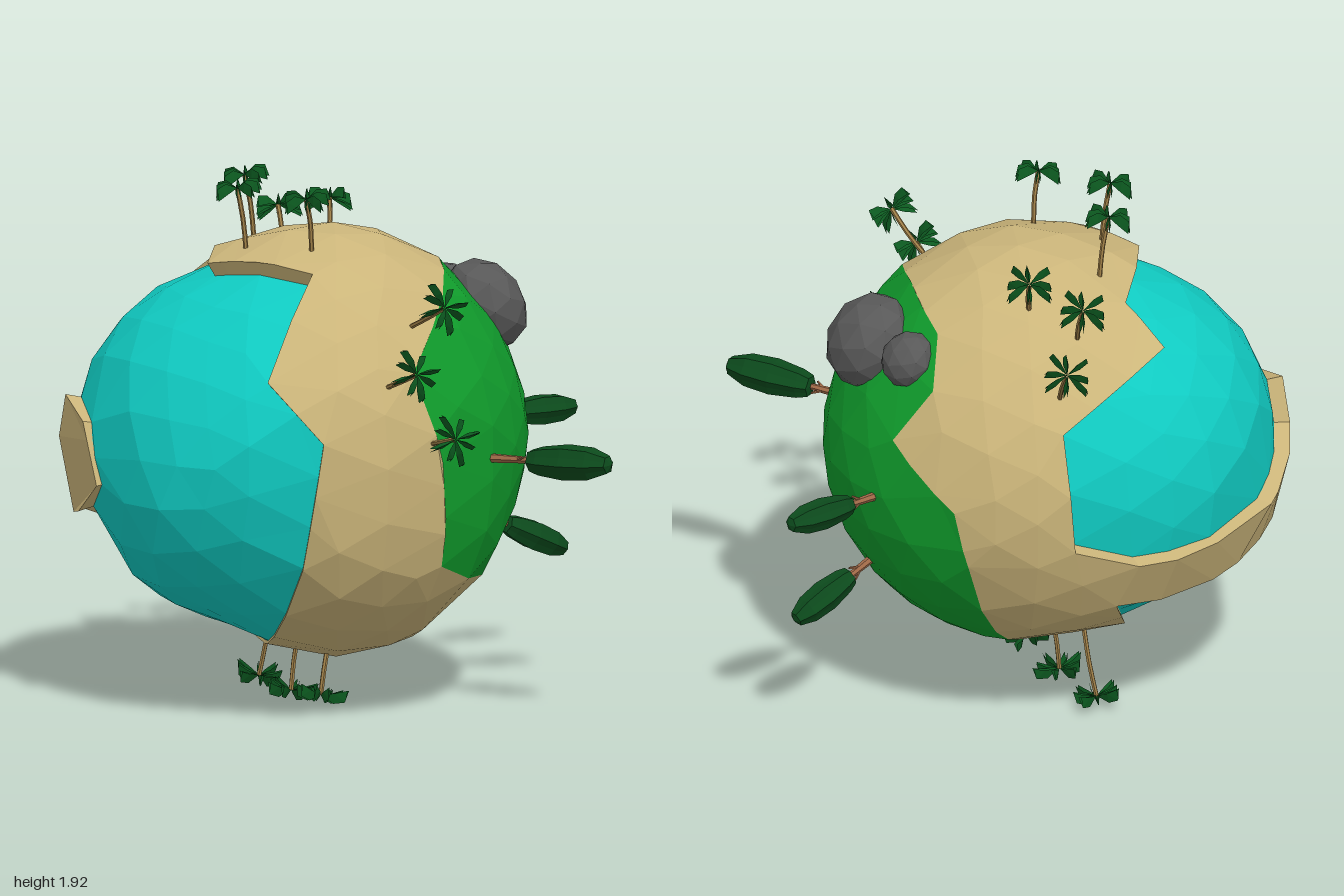
import * as THREE from 'three';
import { mergeVertices, mergeGeometries } from 'three/addons/utils/BufferGeometryUtils.js';

const V = (p) => new THREE.Vector3(...p);
const CENTRE = V([-0.18, 0.983, -0.16]);
const mat = (color, side = THREE.FrontSide) =>
  new THREE.MeshStandardMaterial({ color, side, flatShading: true });
const SAND = mat(0xcbb57a), GRASS = mat(0x109c2c), WATER = mat(0x10cbc2), ROCK = mat(0x585858);
const PALM_TRUNK = mat(0xa08048), BARK = mat(0xa06a48);
const LEAF = mat(0x0c5a20, THREE.DoubleSide), FOLIAGE = mat(0x0c4a1c);

// Outlines of the sea and the meadow, as offsets from the planet's centre
const SEA = [
  [0.36, 0.33, -0.61], [0.36, -0.13, -0.68], [0.14, -0.21, -0.75], [-0.41, -0.13, -0.66],
  [-0.67, 0.00, -0.44], [-0.69, 0.15, -0.40], [-0.75, 0.09, -0.22], [-0.75, -0.12, -0.14],
  [-0.71, -0.22, -0.26], [-0.53, -0.27, -0.54], [-0.20, -0.36, -0.66], [0.16, -0.41, -0.65],
  [-0.07, -0.66, -0.41], [-0.27, -0.73, 0.12], [-0.40, -0.35, 0.57], [-0.38, 0.10, 0.67],
  [-0.50, 0.31, 0.50], [-0.21, 0.68, 0.34], [-0.38, 0.66, -0.08], [-0.07, 0.65, -0.40],
  [-0.10, 0.52, -0.57],
];
const MEADOW = [
  [-0.01, 0.335, 0.70], [0.07, 0, 0.78], [0.095, -0.38, 0.68], [0.46, -0.505, 0.40],
  [0.20, -0.66, 0.40], [0.23, -0.735, 0.10], [0.25, -0.70, -0.20], [0.64, -0.21, -0.415],
  [0.69, 0.02, -0.395], [0.76, 0.24, -0.11], [0.62, 0.43, -0.19], [0.52, 0.595, -0.08],
  [0.40, 0.65, 0.23],
];

// A closed outline on the unit sphere with an inside test in stereographic projection
function makeRegion(corners, centre) {
  const c = V(centre).normalize();
  const u = new THREE.Vector3(0, 1, 0).cross(c).normalize(), v = c.clone().cross(u);
  const project = (d) => [d.dot(u) / (1.001 + d.dot(c)), d.dot(v) / (1.001 + d.dot(c))];
  const dirs = corners.map((p) => V(p).normalize());
  const path = [];
  dirs.forEach((a, i) => {
    const b = dirs[(i + 1) % dirs.length];
    for (let k = 0; k < 6; k++) path.push(a.clone().lerp(b, k / 6).normalize());
  });
  const flat = path.map(project);
  const contains = (d) => {
    const [x, y] = project(d);
    let inside = false;
    flat.forEach(([ax, ay], i) => {
      const [bx, by] = flat[(i + 1) % flat.length];
      if ((ay > y) !== (by > y) && x < ax + ((y - ay) * (bx - ax)) / (by - ay)) inside = !inside;
    });
    return inside;
  };
  return { dirs, path, contains };
}

// Broad swellings of the planet: direction, height, and where each starts and peaks
const BUMPS = [
  [[-0.74, -0.1, -0.67], 0.13, 0.25, 1.1], [[-0.75, -0.1, 0.65], 0.045, 0.6, 1],
  [[0, -0.8, 0.6], 0.06, 0.65, 1], [[-0.3, -0.85, -0.43], -0.035, 0.7, 1],
  [[0.3, 0.9, 0.3], 0.025, 0.75, 1],
].map(([d, ...rest]) => [V(d).normalize(), ...rest]);

// Point on the planet in direction d; the sea lies a step below the land
function surface(d, sea) {
  let r = 0.777;
  for (const [dir, height, from, to] of BUMPS) r += height * THREE.MathUtils.smoothstep(d.dot(dir), from, to);
  if (sea) r -= 0.058 - 0.045 * THREE.MathUtils.smoothstep(d.z - d.y, 0.1, 0.5);
  else r = Math.min(r, 0.82 / Math.max(-d.x, 0.1), 0.815 / Math.max(-d.z, 0.1));
  const stretch = new THREE.Vector3(d.x > 0 ? 1.03 : 1, 0.97, d.z > 0 ? 0.97 : 1);
  return d.clone().multiply(stretch).multiplyScalar(r).add(CENTRE);
}

function buildPlanet(group) {
  const sea = makeRegion(SEA, [-0.85, 0, -0.5]);
  const meadow = makeRegion(MEADOW, [0.8, -0.1, 0.4]);
  const ico = new THREE.IcosahedronGeometry(1, 4);
  ico.deleteAttribute('uv');
  ico.deleteAttribute('normal');
  const geo = mergeVertices(ico, 1e-4), pos = geo.attributes.position, index = geo.index.array;
  const dirs = Array.from({ length: pos.count }, (_, i) => new THREE.Vector3().fromBufferAttribute(pos, i));

  // Pull the nearest vertices onto the outlines so that the shores run along edges
  const fixed = new Set();
  for (const region of [sea, meadow]) {
    for (const corner of region.dirs) {
      let best = -1, dist = 0.2;
      dirs.forEach((d, i) => {
        const t = d.distanceTo(corner);
        if (!fixed.has(i) && t < dist) { best = i; dist = t; }
      });
      if (best >= 0) { dirs[best].copy(corner); fixed.add(best); }
    }
  }
  const line = new THREE.Line3(), near = new THREE.Vector3(), reach = 0.128;
  dirs.forEach((d, i) => {
    if (fixed.has(i)) return;
    const target = d.clone();
    let dist = reach;
    for (const { path } of [sea, meadow]) path.forEach((a, k) => {
      line.set(a, path[(k + 1) % path.length]).closestPointToPoint(d, true, near);
      if (near.distanceTo(d) < dist) { dist = near.distanceTo(d); target.copy(near); }
    });
    d.copy(target).normalize();
  });

  // Sort the faces into sand, grass and water
  const out = { sand: [], grass: [], water: [] }, shore = new Map();
  const push = (list, ...pts) => pts.forEach((p) => list.push(p.x, p.y, p.z));
  for (let f = 0; f < index.length; f += 3) {
    const ids = [index[f], index[f + 1], index[f + 2]];
    const mid = new THREE.Vector3();
    ids.forEach((i) => mid.add(dirs[i]));
    mid.normalize();
    const isSea = sea.contains(mid);
    push(isSea ? out.water : meadow.contains(mid) ? out.grass : out.sand,
      ...ids.map((i) => surface(dirs[i], isSea)));
    if (isSea) ids.forEach((a, k) => {
      const b = ids[(k + 1) % 3];
      if (!shore.delete(b + '_' + a)) shore.set(a + '_' + b, [a, b]);
    });
  }
  // Steep banks between water and sand
  for (const [a, b] of shore.values()) {
    const al = surface(dirs[a], true), bl = surface(dirs[b], true);
    const ah = surface(dirs[a], false), bh = surface(dirs[b], false);
    push(out.sand, al, bh, bl, al, ah, bh);
  }
  for (const [name, material] of [['sand', SAND], ['grass', GRASS], ['water', WATER]]) {
    const g = new THREE.BufferGeometry();
    g.setAttribute('position', new THREE.Float32BufferAttribute(out[name], 3));
    g.computeVertexNormals();
    add(group, name, g, material);
  }
}

function add(parent, name, geometry, material) {
  const m = new THREE.Mesh(geometry, material);
  m.name = name;
  parent.add(m);
  return m;
}

// A group standing at base with its y axis towards tip
function standing(parent, name, base, tip) {
  const g = new THREE.Group(), axis = V(tip).sub(V(base));
  g.name = name;
  g.position.copy(V(base));
  g.quaternion.setFromUnitVectors(new THREE.Vector3(0, 1, 0), axis.clone().normalize());
  parent.add(g);
  return [g, axis.length()];
}

// One narrow, steeply folded frond, repeated around the crown
function crownGeometry() {
  const p = [[0, 0, 0], [0.055, -0.012, 0.01], [0.05, 0.026, 0], [0.055, -0.012, -0.01],
    [0.1, -0.028, 0.006], [0.092, 0.016, 0], [0.1, -0.028, -0.006]];
  const tris = [0, 1, 2, 0, 2, 3, 2, 1, 5, 2, 5, 3, 1, 4, 5, 5, 6, 3];
  const leaf = new THREE.BufferGeometry();
  leaf.setAttribute('position', new THREE.Float32BufferAttribute(tris.flatMap((i) => p[i]), 3));
  leaf.computeVertexNormals();
  return mergeGeometries(Array.from({ length: 8 }, (_, i) =>
    leaf.clone().scale(i % 2 ? 0.8 : 1, 1, 1).rotateY((i * Math.PI) / 4 + (i % 3) * 0.12)));
}

function palm(parent, crown, base, tip) {
  const [g, len] = standing(parent, 'palm', base, tip);
  const path = new THREE.CatmullRomCurve3([V([0, -0.04, 0]), V([0.008, len * 0.5, 0]), V([0, len, 0])]);
  add(g, 'palmTrunk', new THREE.TubeGeometry(path, 5, 0.009, 6), PALM_TRUNK);
  add(g, 'palmCrown', crown, LEAF).position.y = len;
}

// Cypress: ribbed crown on a short trunk with two twigs
function cypress(parent, base, tip, width) {
  const [g, len] = standing(parent, 'cypress', base, tip);
  const start = len * 0.3, h = len - start;
  add(g, 'cypressTrunk', new THREE.CylinderGeometry(0.011, 0.018, start + 0.08, 6).translate(0, start / 2, 0), BARK);
  for (const s of [-1, 1]) {
    const twig = add(g, 'twig', new THREE.CylinderGeometry(0.004, 0.007, 0.05, 5), BARK);
    twig.position.set(s * 0.015, start * 0.8, 0);
    twig.rotation.z = -s * 0.6;
  }
  const profile = [[0, 0], [0.6, 0.02], [0.8, 0.14], [1, 0.45], [0.9, 0.75], [0.5, 0.96], [0, 1]];
  const crown = new THREE.LatheGeometry(profile.map(([r, y]) => new THREE.Vector2(r * width, y * h)), 12);
  const pos = crown.attributes.position;
  for (let i = 0; i < pos.count; i++) {
    const k = Math.floor(i / profile.length) % 2 ? 0.86 : 1.03;
    pos.setXYZ(i, pos.getX(i) * k, pos.getY(i) + start, pos.getZ(i) * k);
  }
  add(g, 'cypressCrown', crown, FOLIAGE);
}

function rock(parent, name, at, r, height) {
  const m = add(parent, name, new THREE.IcosahedronGeometry(1, 1), ROCK);
  m.position.copy(V(at));
  m.scale.set(r, r, height);
  m.lookAt(V(at).multiplyScalar(2).sub(CENTRE));
}

export function createModel() {
  const model = new THREE.Group();
  model.name = 'tinyPlanet';
  buildPlanet(model);

  // Palms on the top, the front and the underside
  const crown = crownGeometry();
  const palms = [
    [[-0.31, 1.71, 0.04], [-0.34, 1.89, 0.055]], [[-0.43, 1.66, -0.2], [-0.46, 1.905, -0.21]],
    [[-0.25, 1.68, -0.42], [-0.28, 1.905, -0.43]], [[0.07, 1.63, -0.42], [0.12, 1.775, -0.48]],
    [[0, 1.58, -0.61], [0.04, 1.725, -0.69]], [[0.15, 1.42, -0.7], [0.21, 1.565, -0.815]],
    [[-0.13, 1.46, 0.42], [-0.15, 1.565, 0.665]], [[-0.305, 1.275, 0.54], [-0.325, 1.35, 0.745]],
    [[-0.15, 1.055, 0.575], [-0.2, 1.11, 0.81]], [[-0.23, 0.24, 0.03], [-0.27, 0.075, 0.045]],
    [[-0.2, 0.26, -0.2], [-0.22, 0.05, -0.22]], [[-0.16, 0.32, -0.44], [-0.17, 0.06, -0.5]],
  ];
  palms.forEach(([base, tip]) => palm(model, crown, base, tip));

  cypress(model, [0.59, 0.97, -0.2], [1, 0.97, -0.2], 0.056);
  cypress(model, [0.49, 0.65, -0.06], [0.85, 0.485, -0.04], 0.056);
  cypress(model, [0.16, 0.965, 0.52], [0.365, 0.985, 0.97], 0.066);

  rock(model, 'largeRock', [0.42, 1.435, 0.07], 0.18, 0.145);
  rock(model, 'smallRock', [0.435, 1.455, -0.175], 0.105, 0.088);
  return model;
}
